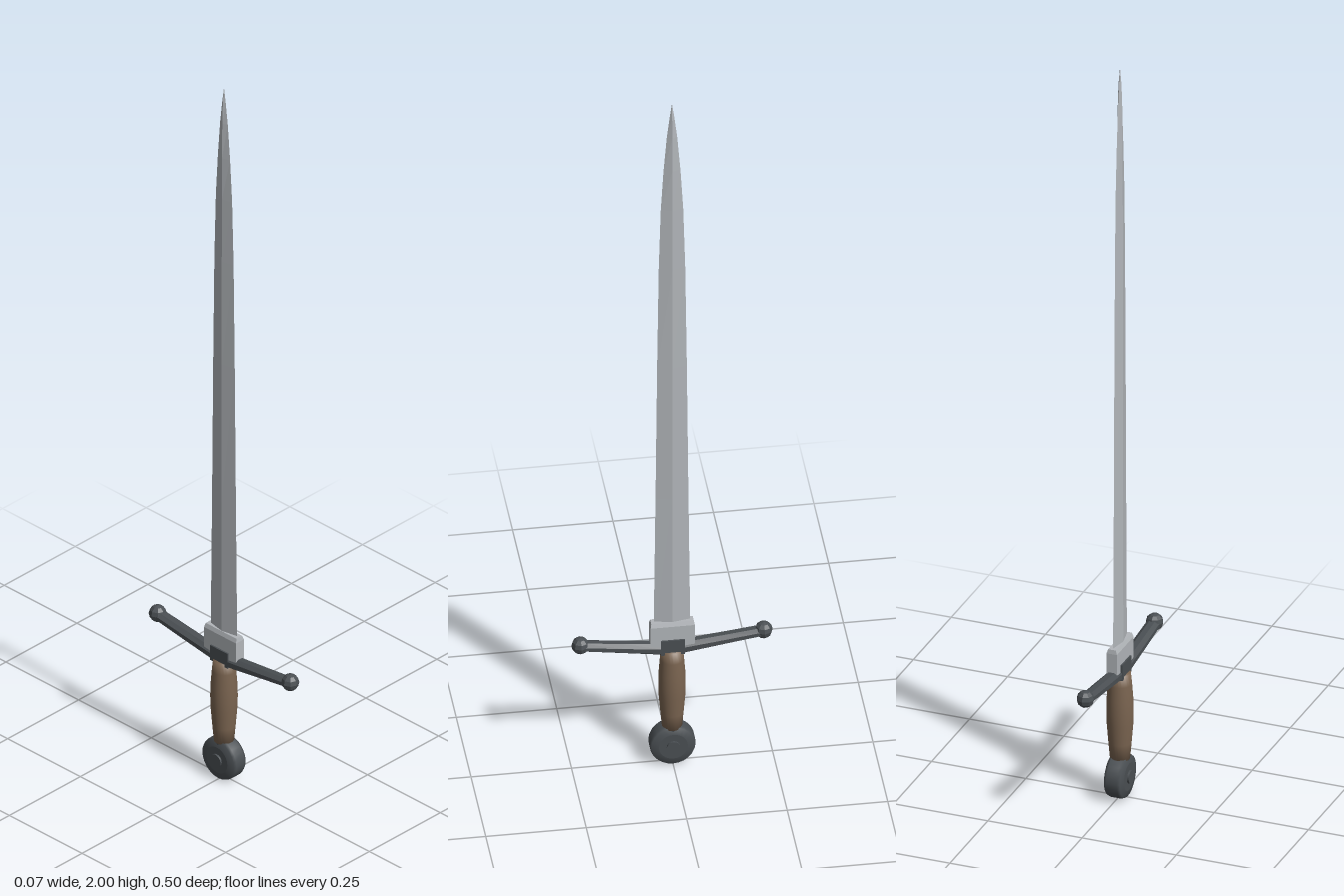
import * as THREE from 'three';

const steel = new THREE.MeshStandardMaterial({ color: 0xb2b6ba, flatShading: true });
const iron = new THREE.MeshStandardMaterial({ color: 0x4a4f53, flatShading: true });
const ironSmooth = new THREE.MeshStandardMaterial({ color: 0x4a4f53 });
const leather = new THREE.MeshStandardMaterial({ color: 0x7a6450 });

// Skin a list of rings (arrays of [x, y, z], counter-clockwise seen from the end) and cap both ends
function loft(rings) {
  const n = rings[0].length;
  const pos = rings.flat(2);
  const index = [];
  for (let r = 0; r < rings.length - 1; r++) {
    for (let i = 0; i < n; i++) {
      const a = r * n + i, b = r * n + (i + 1) % n;
      index.push(a, b, b + n, a, b + n, a + n);
    }
  }
  const last = (rings.length - 1) * n;
  for (let i = 1; i < n - 1; i++) {
    index.push(0, i + 1, i, last, last + i, last + i + 1);
  }
  const geo = new THREE.BufferGeometry();
  geo.setAttribute('position', new THREE.Float32BufferAttribute(pos, 3));
  geo.setIndex(index);
  geo.computeVertexNormals();
  return geo;
}

export function createModel() {
  const sword = new THREE.Group();
  sword.name = 'sword';
  const add = (name, geometry, material, parent = sword) => {
    const mesh = new THREE.Mesh(geometry, material);
    mesh.name = name;
    parent.add(mesh);
    return mesh;
  };

  // Blade: diamond section, [height, half width, half thickness]
  const bladeProfile = [
    [0.36, 0.046, 0.009], [0.8, 0.041, 0.008], [1.2, 0.037, 0.008], [1.5, 0.033, 0.008],
    [1.68, 0.028, 0.007], [1.8, 0.021, 0.007], [1.9, 0.013, 0.006], [1.96, 0.006, 0.004],
    [2, 0.0005, 0.0005],
  ];
  add('blade', loft(bladeProfile.map(([y, w, t]) => [[t, y, 0], [0, y, -w], [-t, y, 0], [0, y, w]])), steel);

  // Collar around the blade root, with a chamfered top
  const collarRing = (y, x, z) => [[x, y, z], [x, y, -z], [-x, y, -z], [-x, y, z]];
  add('collar', loft([
    collarRing(0.355, 0.014, 0.055), collarRing(0.415, 0.014, 0.055), collarRing(0.426, 0.010, 0.053),
  ]), steel);

  // Crossguard: octagonal arms rising toward the ends, [z, centre height, half height, half depth]
  const guard = new THREE.Group();
  guard.name = 'crossguard';
  sword.add(guard);
  const half = [[0.03, 0.345, 0.016, 0.018], [0.12, 0.357, 0.014, 0.018], [0.225, 0.371, 0.012, 0.017]];
  const stations = [...half.map(([z, ...rest]) => [-z, ...rest]).reverse(), ...half];
  add('guardArms', loft(stations.map(([z, y, h, d]) =>
    Array.from({ length: 8 }, (_, i) => {
      const a = (i + 0.5) * Math.PI / 4, k = 1 / Math.cos(Math.PI / 8);
      return [Math.cos(a) * d * k, y + Math.sin(a) * h * k, z];
    }))), iron, guard);
  add('guardBlock', new THREE.BoxGeometry(0.037, 0.043, 0.06), iron, guard).position.y = 0.354;
  for (const side of [-1, 1]) {
    add('guardKnob', new THREE.SphereGeometry(0.0225, 8, 6), iron, guard).position.set(0, 0.373, side * 0.228);
  }

  // Grip: swelling handle
  const gripPoints = [[0, 0.105], [0.025, 0.105], [0.029, 0.15], [0.033, 0.2], [0.034, 0.235],
    [0.033, 0.27], [0.030, 0.31], [0.027, 0.34], [0, 0.34]].map(([r, y]) => new THREE.Vector2(r, y));
  add('grip', new THREE.LatheGeometry(gripPoints, 24), leather);

  // Pommel: thick wheel with a raised boss on each face
  const rim = [[0, -0.025], [0.036, -0.025], [0.036, -0.025], [0.054, -0.021], [0.057, -0.014],
    [0.057, 0.014], [0.054, 0.021], [0.036, 0.025], [0.036, 0.025], [0, 0.025]];
  const pommel = new THREE.Group();
  pommel.name = 'pommel';
  pommel.position.y = 0.057;
  pommel.rotation.z = Math.PI / 2;
  sword.add(pommel);
  add('pommelWheel', new THREE.LatheGeometry(rim.map(([r, y]) => new THREE.Vector2(r, y)), 24), ironSmooth, pommel);
  add('pommelBoss', new THREE.CylinderGeometry(0.017, 0.017, 0.06, 16), ironSmooth, pommel);
  // Neck between pommel and grip
  add('pommelNeck', new THREE.CylinderGeometry(0.025, 0.023, 0.02, 16), ironSmooth).position.y = 0.107;

  return sword;
}
